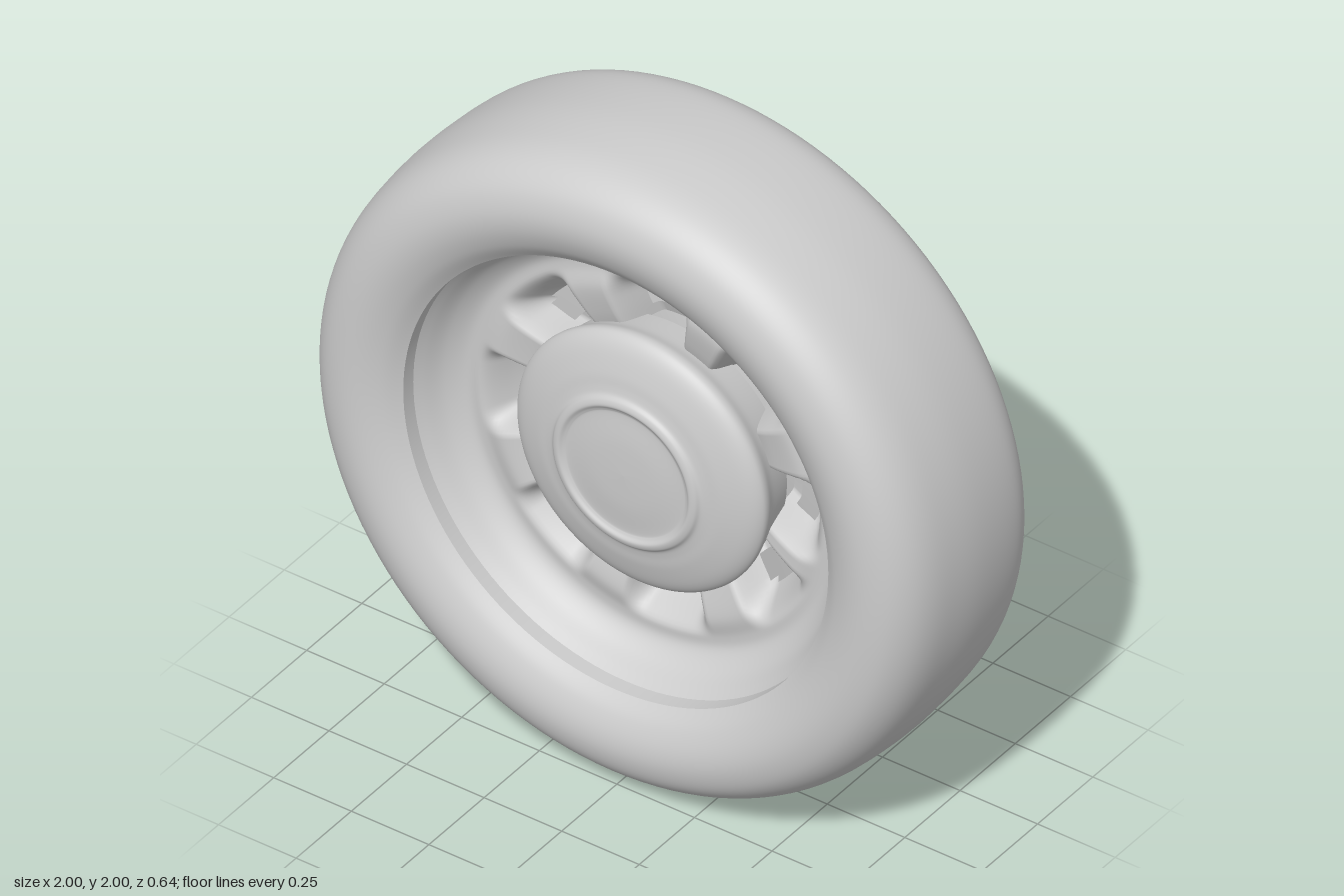
import * as THREE from 'three';

const material = new THREE.MeshStandardMaterial({ color: 0xcccccc, side: THREE.DoubleSide });

// Turn a profile of [radius, z] points around the axle (z axis)
function turned(name, points, samples = 0) {
  let profile = points.map(([r, z]) => new THREE.Vector2(r, z));
  if (samples) profile = new THREE.SplineCurve(profile).getPoints(samples);
  const geometry = new THREE.LatheGeometry(profile, 128);
  geometry.rotateX(Math.PI / 2);
  const mesh = new THREE.Mesh(geometry, material);
  mesh.name = name;
  return mesh;
}

// Vent positions around the rim, in degrees
const vents = [0, 47, 91, 136, 182, 231, 276, 323];

function ventOffset(degrees) {
  return Math.min(...vents.map((v) => Math.abs(((degrees - v + 540) % 360) - 180)));
}

// Dished rim face: polar grid with a dimple and an open window at each vent
function rimFace() {
  const curve = new THREE.SplineCurve([
    [0.36, 0.07], [0.42, 0.09], [0.5, 0.105], [0.56, 0.095], [0.6, 0.1],
    [0.64, 0.135], [0.67, 0.185], [0.685, 0.21],
  ].map(([r, z]) => new THREE.Vector2(r, z)));
  const rows = curve.getPoints(44);
  const positions = [];
  const indices = [];
  const steps = 360;
  for (const { x: r, y: z } of rows) {
    for (let i = 0; i < steps; i++) {
      const a = THREE.MathUtils.degToRad(i);
      const across = 1 - THREE.MathUtils.smoothstep(ventOffset(i), 8, 16);
      const along = 1 - THREE.MathUtils.smoothstep(r, 0.46, 0.56);
      positions.push(r * Math.cos(a), r * Math.sin(a), z - 0.12 * across * along);
    }
  }
  for (let j = 0; j < rows.length - 1; j++) {
    const r = (rows[j].x + rows[j + 1].x) / 2;
    // Window corners are rounded off near the outer edge
    const halfWidth = r < 0.46 ? 10 : 10 - ((r - 0.46) / 0.02) ** 2 * 3;
    for (let i = 0; i < steps; i++) {
      if (r > 0.39 && r < 0.482 && ventOffset(i + 0.5) < halfWidth) continue;
      const n = (i + 1) % steps;
      const a = j * steps + i, b = (j + 1) * steps + i;
      const c = (j + 1) * steps + n, d = j * steps + n;
      indices.push(a, b, c, a, c, d);
    }
  }
  const geometry = new THREE.BufferGeometry();
  geometry.setAttribute('position', new THREE.Float32BufferAttribute(positions, 3));
  geometry.setIndex(indices);
  geometry.computeVertexNormals();
  const mesh = new THREE.Mesh(geometry, material);
  mesh.name = 'rimFace';
  return mesh;
}

export function createModel() {
  const wheel = new THREE.Group();
  wheel.name = 'wheel';
  wheel.position.y = 1;

  // Smooth tyre, slightly fuller at the front
  wheel.add(turned('tyre', [
    [0.685, -0.262], [0.73, -0.275], [0.8, -0.285], [0.89, -0.283], [0.945, -0.262],
    [0.977, -0.215], [0.992, -0.14], [1, 0], [0.995, 0.11], [0.982, 0.195],
    [0.955, 0.255], [0.91, 0.298], [0.85, 0.318], [0.79, 0.315], [0.73, 0.291],
    [0.685, 0.255],
  ], 80));

  // Inner wall carrying the tyre
  wheel.add(turned('rimBarrel', [[0.685, -0.262], [0.685, 0.255]]));

  wheel.add(rimFace());

  // Domed hub with a raised ring around a shallow centre cap
  wheel.add(turned('hub', [
    [0.37, 0.0], [0.385, 0.08], [0.4, 0.125], [0.392, 0.15], [0.36, 0.172],
    [0.3, 0.192], [0.26, 0.2], [0.24, 0.206], [0.228, 0.217], [0.212, 0.221],
    [0.198, 0.213], [0.18, 0.211], [0.1, 0.219], [0, 0.222],
  ], 70));

  // Shallow dished plate closing the back
  wheel.add(turned('backPlate', [[0, -0.185], [0.34, -0.252], [0.68, -0.32]]));

  const model = new THREE.Group();
  model.name = 'model';
  model.add(wheel);
  return model;
}
